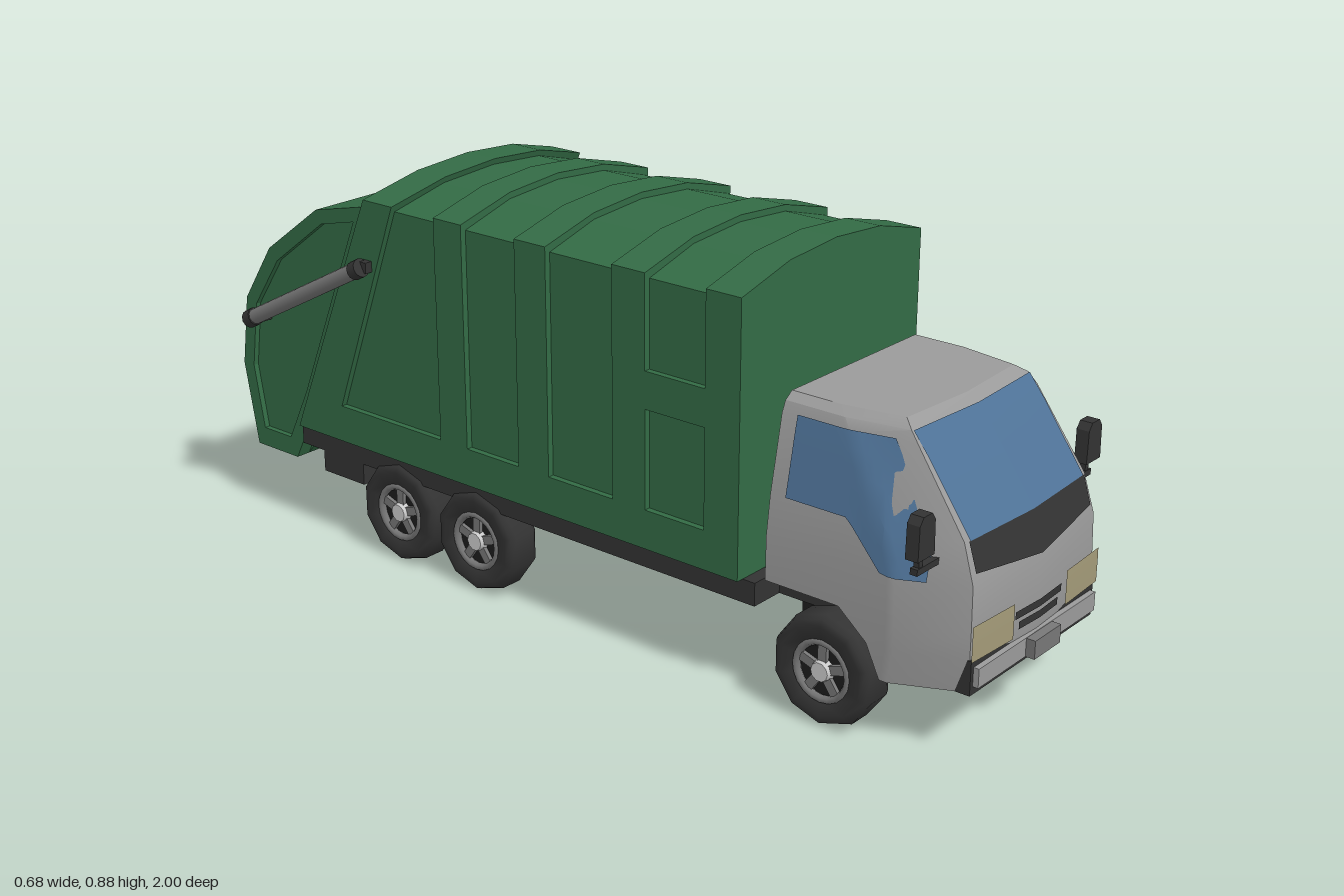
import * as THREE from 'three';
import { toCreasedNormals } from 'three/addons/utils/BufferGeometryUtils.js';

const mat = (color) => new THREE.MeshStandardMaterial({ color, side: THREE.DoubleSide });
const GREEN = mat(0x336b45), GREY = mat(0xcccccc), PAINT = mat(0x9a9a9a), DARK = mat(0x333333), BLACK = mat(0x1c1c1c);
const GLASS = mat(0x4f7398), LAMP = mat(0xa39a78), METAL = mat(0x777777);

export function createModel() {
  const truck = new THREE.Group();
  const add = (name, geo, material, parent = truck) => {
    const m = new THREE.Mesh(geo, material);
    m.name = name;
    parent.add(m);
    return m;
  };
  // box given by its extents
  const box = (name, x0, x1, y0, y1, z0, z1, material) => {
    const m = add(name, new THREE.BoxGeometry(x1 - x0, y1 - y0, z1 - z0), material);
    m.position.set((x0 + x1) / 2, (y0 + y1) / 2, (z0 + z1) / 2);
    return m;
  };
  const shapeOf = (pts) => new THREE.Shape(pts.map((p) => new THREE.Vector2(...p)));
  // plate drawn as (z, y) points and extruded from x0 to x1
  const sidePlate = (name, pts, x0, x1, material, hole) => {
    const shape = shapeOf(pts);
    if (hole) shape.holes.push(shapeOf(hole));
    const geo = new THREE.ExtrudeGeometry(shape, { depth: x1 - x0, bevelEnabled: false });
    geo.rotateY(-Math.PI / 2).translate(x1, 0, 0);
    return add(name, geo, material);
  };
  // surface through rows of points
  const grid = (rows) => {
    const n = rows[0].length, index = [];
    for (let i = 0; i < rows.length - 1; i++) {
      for (let j = 0; j < n - 1; j++) {
        const a = i * n + j, b = a + 1, c = a + n, d = c + 1;
        index.push(a, c, b, b, c, d);
      }
    }
    const geo = new THREE.BufferGeometry();
    geo.setAttribute('position', new THREE.Float32BufferAttribute(rows.flat(2), 3));
    geo.setIndex(index);
    return toCreasedNormals(geo, 0.5);
  };
  const lerp = THREE.MathUtils.lerp;

  // Refuse body: recessed core with full-size ribs, rear end raked
  const section = (d, y0 = 0.25, yTop = 0.83) => yTop < 0.8
    ? [[-0.297, y0], [0.297, y0], [0.297, yTop], [-0.297, yTop]]
    : [[d - 0.297, y0], [0.297 - d, y0], [0.297 - d, 0.83 - d], [0.149, 0.868 - d],
      [0, 0.879 - d], [-0.149, 0.868 - d], [d - 0.297, 0.83 - d]];
  const slab = (name, pts, zFront, zRear, rakeFront = 0, rakeRear = 0) => {
    const geo = new THREE.ExtrudeGeometry(shapeOf(pts), { depth: 1, bevelEnabled: false });
    const p = geo.attributes.position;
    for (let i = 0; i < p.count; i++) {
      const drop = 0.88 - p.getY(i);
      p.setZ(i, p.getZ(i) > 0.5 ? zFront - drop * rakeFront : zRear - drop * rakeRear);
    }
    geo.computeVertexNormals();
    add(name, geo, GREEN);
  };
  slab('bodyCore', section(0.014), 0.47, -0.51, 0, 0.42);
  for (const [a, b] of [[0.48, 0.395], [0.245, 0.16], [-0.015, -0.1], [-0.25, -0.33]]) slab('bodyRib', section(0), a, b);
  slab('rearBodyRib', section(0), -0.435, -0.52, 0.38, 0.43);
  slab('bodySill', section(0, 0.25, 0.335), 0.48, -0.52, 0, 0.43);
  slab('bodyCrossRail', section(0, 0.55, 0.63), 0.4, 0.24);

  // Tailgate with open hopper
  const cheek = [[-0.545, 0.81], [-0.72, 0.77], [-0.885, 0.65], [-0.975, 0.515], [-1, 0.35], [-0.965, 0.155], [-0.83, 0.155], [-0.75, 0.31]];
  const cheekHole = [[-0.6, 0.765], [-0.705, 0.74], [-0.86, 0.625], [-0.943, 0.505], [-0.966, 0.35], [-0.94, 0.2], [-0.85, 0.2], [-0.785, 0.33]];
  for (const s of [-1, 1]) {
    const span = (a, b) => (s > 0 ? [a, b] : [-b, -a]);
    sidePlate('tailgateCheek', cheek, ...span(0.238, 0.262), GREEN);
    sidePlate('tailgateRim', cheek, ...span(0.26, 0.275), GREEN, cheekHole);
  }
  sidePlate('tailgateCore', [[-0.5, 0.81], [-0.545, 0.81], [-0.72, 0.77], [-0.75, 0.755], [-0.738, 0.705], [-0.85, 0.615], [-0.82, 0.59],
    [-0.75, 0.5], [-0.755, 0.38], [-0.81, 0.27], [-0.97, 0.22], [-0.965, 0.155], [-0.83, 0.155], [-0.75, 0.25], [-0.5, 0.3]], -0.24, 0.24, GREEN);
  sidePlate('hopperLining', [[-0.838, 0.606], [-0.775, 0.5], [-0.78, 0.38], [-0.85, 0.26], [-0.79, 0.26], [-0.74, 0.4], [-0.74, 0.5]], -0.239, 0.239, BLACK);
  sidePlate('tailgateSlot', [[-0.749, 0.752], [-0.752, 0.713], [-0.73, 0.7], [-0.73, 0.752]], -0.238, 0.238, BLACK);
  box('rearPlate', -0.045, 0.045, 0.155, 0.195, -1, -0.96, METAL);

  // Lift rams
  for (const s of [-1, 1]) {
    const a = new THREE.Vector3(s * 0.317, 0.685, -0.535), b = new THREE.Vector3(s * 0.317, 0.485, -0.918);
    const ram = new THREE.Group();
    ram.name = 'liftRam';
    const len = a.distanceTo(b);
    add('ramTube', new THREE.CylinderGeometry(0.018, 0.018, len, 12), METAL, ram);
    for (const e of [-1, 1]) add('ramEnd', new THREE.CylinderGeometry(0.021, 0.021, 0.025, 12), DARK, ram).position.y = e * (len / 2 - 0.012);
    ram.position.copy(a).lerp(b, 0.5);
    ram.quaternion.setFromUnitVectors(new THREE.Vector3(0, 1, 0), a.clone().sub(b).normalize());
    truck.add(ram);
    for (const p of [a, b]) box('ramPin', Math.min(s * 0.25, s * 0.315), Math.max(s * 0.25, s * 0.315), p.y - 0.012, p.y + 0.012, p.z - 0.012, p.z + 0.012, DARK);
  }

  // Chassis
  box('chassisDeck', -0.28, 0.28, 0.2, 0.25, -0.8, 0.51, DARK);
  box('chassisNose', -0.2, 0.2, 0.2, 0.247, 0.5, 0.66, DARK);
  box('rearCrossMember', -0.28, 0.28, 0.15, 0.21, -0.73, -0.6, DARK);
  box('engineBlock', -0.19, 0.19, 0.16, 0.28, 0.56, 0.9, BLACK);

  // Wheels
  const tyre = new THREE.LatheGeometry([[0.066, -0.036], [0.096, -0.042], [0.111, -0.038], [0.117, -0.025], [0.117, 0.025],
    [0.111, 0.038], [0.096, 0.042], [0.066, 0.036], [0.06, 0.02]].map((p) => new THREE.Vector2(...p)), 10);
  for (const z of [0.675, -0.245, -0.482]) {
    const axle = add('axle', new THREE.CylinderGeometry(0.02, 0.02, 0.44, 10), BLACK);
    axle.rotation.z = Math.PI / 2;
    axle.position.set(0, 0.117, z);
    for (const s of [-1, 1]) {
      const wheel = new THREE.Group();
      wheel.name = 'wheel';
      add('tyre', tyre, DARK, wheel).rotation.y = Math.PI / 10;
      add('rimDish', new THREE.CylinderGeometry(0.068, 0.068, 0.05, 20), BLACK, wheel);
      const ring = add('rimRing', new THREE.TorusGeometry(0.061, 0.009, 6, 20), METAL, wheel);
      ring.rotation.x = Math.PI / 2;
      ring.position.y = 0.031;
      add('hub', new THREE.CylinderGeometry(0.02, 0.026, 0.02, 10), GREY, wheel).position.y = 0.032;
      for (let i = 0; i < 5; i++) {
        const t = i * Math.PI * 0.4;
        const spoke = add('spoke', new THREE.BoxGeometry(0.045, 0.014, 0.02), METAL, wheel);
        spoke.position.set(Math.cos(t) * 0.037, 0.027, -Math.sin(t) * 0.037);
        spoke.rotation.y = t;
      }
      wheel.rotation.z = -s * Math.PI / 2;
      wheel.position.set(s * 0.248, 0.117, z);
      truck.add(wheel);
    }
  }

  // Cab levels: height, side half width, front half width, front z
  const levels = [[0.14, 0.277, 0.215, 0.95], [0.21, 0.281, 0.22, 0.963], [0.265, 0.281, 0.22, 0.963], [0.36, 0.28, 0.218, 0.96],
    [0.44, 0.27, 0.215, 0.935], [0.6, 0.238, 0.208, 0.822], [0.622, 0.228, 0.203, 0.803], [0.636, 0.208, 0.185, 0.78]];
  const at = (y) => {
    let i = 0;
    while (i < levels.length - 2 && y > levels[i + 1][0]) i++;
    const t = (y - levels[i][0]) / (levels[i + 1][0] - levels[i][0]);
    const [, w, f, z] = levels[i].map((v, k) => lerp(v, levels[i + 1][k], t));
    return { w, f, z, s: z - 0.13 };
  };
  const sideX = (y, z) => {
    const c = at(y);
    return z < c.s ? c.w : lerp(c.w, c.f, (z - c.s) / 0.13);
  };
  // half outline: position along the side and lower edge, raised over the wheel
  const columns = [[0, 0.265], [0.58, 0.265], [0.8, 0.21], [0.94, 0.14], [1, 0.14]];
  const cabRows = levels.map(([level]) => {
    const half = columns.map(([t, low]) => {
      const y = Math.max(level, low), c = at(y);
      return [c.w, y, lerp(0.535, c.s, t)];
    });
    const c = at(level);
    half.push([c.f, level, c.z]);
    const loop = [...half, [0, level, c.z + 0.012], ...half.map(([x, y, z]) => [-x, y, z]).reverse()];
    return [...loop, loop[0]];
  });
  add('cabShell', grid(cabRows), PAINT);
  const halves = (row) => [row.slice(0, 7), row.slice(6, 13).reverse()];
  add('cabRoof', grid(halves(cabRows.at(-1))), PAINT);
  add('cabFloor', grid(halves(cabRows[0]).reverse()), DARK);

  // Panels that follow the cab front: lower and upper edge, half width
  const frontPanel = (name, y0, y1, k0, k1, material, out = 0.004, sag = 0) => {
    const rows = [0, 0.25, 0.5, 0.75, 1].map((t) => [k1, (k0 + k1) / 2, k0].map((x) => {
      const y = lerp(y0 + sag * Math.abs(x) / 0.21, y1, t), c = at(y);
      return [x, y, c.z + 0.012 * (1 - Math.abs(x) / c.f) + out];
    }));
    add(name, grid(rows), material);
  };
  for (const s of [-1, 1]) {
    const a = Math.min(0, s * 0.206), b = Math.max(0, s * 0.206);
    frontPanel('windscreen', 0.44, 0.622, a * 0.98, b * 0.98, GLASS);
    frontPanel('cowl', 0.357, 0.44, a, b, DARK, 0.004, 0.025);
    frontPanel('headlight', 0.212, 0.285, s > 0 ? 0.095 : -0.228, s > 0 ? 0.228 : -0.095, LAMP, 0.009);
    frontPanel('grilleSlatUpper', 0.246, 0.262, Math.min(0, s * 0.083), Math.max(0, s * 0.083), DARK);
    frontPanel('grilleSlatLower', 0.222, 0.238, Math.min(0, s * 0.07), Math.max(0, s * 0.07), DARK);

    // Side window
    const sideRows = [0, 0.2, 0.4, 0.6, 0.8, 1].map((t) => Array.from({ length: 19 }, (_, i) => {
      const z = lerp(0.573, 0.885, i / 18);
      const low = THREE.MathUtils.clamp(0.446 - (z - 0.715), 0.36, 0.446);
      const high = Math.min(0.605, 0.605 - (z - 0.785) * 1.95);
      const y = lerp(low, high, t);
      return [s * (sideX(y, z) + 0.004), y, z];
    }));
    add('sideWindow', grid(sideRows), GLASS);

    // Door mirror
    const xs = (p, q) => [Math.min(s * p, s * q), Math.max(s * p, s * q)];
    box('mirrorArm', ...xs(0.235, 0.31), 0.395, 0.408, 0.882, 0.898, DARK);
    box('mirrorStem', ...xs(0.29, 0.302), 0.4, 0.44, 0.884, 0.896, DARK);
    const housing = add('mirrorHousing', new THREE.ExtrudeGeometry(shapeOf([[-0.027, -0.042], [0.027, -0.042], [0.025, 0.028],
      [0.014, 0.043], [-0.014, 0.043], [-0.025, 0.028]]), { depth: 0.028, bevelEnabled: false }), DARK);
    housing.position.set(s * 0.298, 0.472, 0.88);
    box('mirrorGlass', ...xs(0.278, 0.318), 0.438, 0.5, 0.877, 0.881, GLASS);
  }

  // Front bumper
  box('bumperBacking', -0.222, 0.222, 0.14, 0.212, 0.9, 0.968, DARK);
  box('bumper', -0.213, 0.213, 0.157, 0.197, 0.95, 0.98, PAINT);
  box('frontPlate', -0.047, 0.047, 0.157, 0.196, 0.96, 1, METAL);

  return truck;
}
